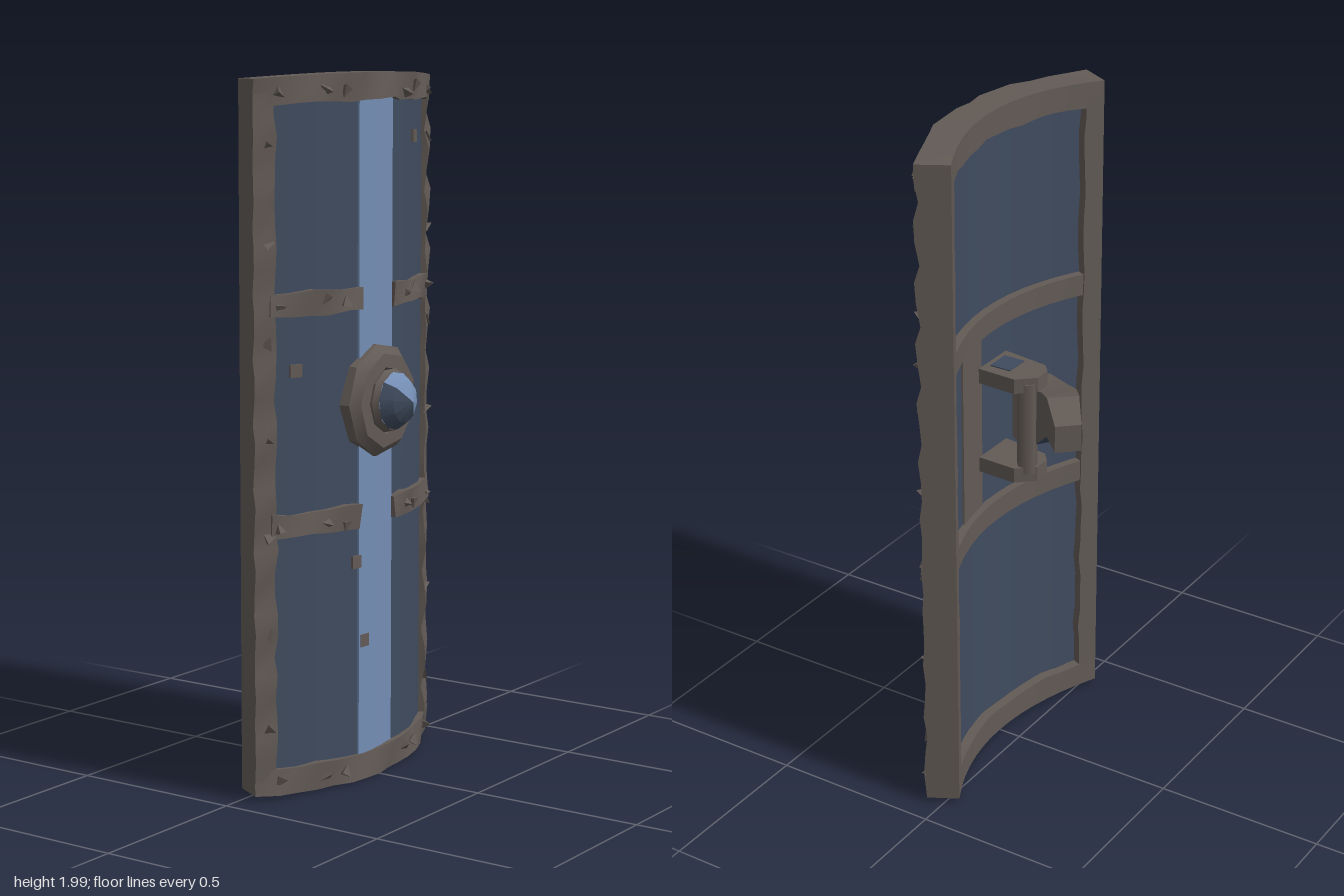
import * as THREE from 'three';
import { toCreasedNormals } from 'three/addons/utils/BufferGeometryUtils.js';

const mat = (name, color) => {
  const m = new THREE.MeshStandardMaterial({ color });
  m.name = name;
  return m;
};

// Point on the bowed shield: y up, z along the curve, t outward from the back
function bow(v, t, y, z) {
  const slope = 1.48 * z, len = Math.hypot(1, slope);
  return v.set(0.07 - 0.74 * z * z + t / len, 1 + (y - 1) * (1 - 0.1 * z * z), z + (t * slope) / len);
}
const noise = (y, z) => Math.sin(y * 37.1 + z * 23.7) * 0.6 + Math.sin(y * 71.3 - z * 53.9) * 0.4;

function editVertices(geo, fn) {
  const p = geo.attributes.position, v = new THREE.Vector3();
  for (let i = 0; i < p.count; i++) {
    fn(v.fromBufferAttribute(p, i));
    p.setXYZ(i, v.x, v.y, v.z);
  }
  return toCreasedNormals(geo, 0.6);
}

// Curved plate between given heights, z limits and depths; rough gives a worn front
function slab(y0, y1, z0, z1, t0, t1, rough = 0) {
  const ny = Math.max(1, Math.round((y1 - y0) / 0.06));
  const nz = Math.max(1, Math.round((z1 - z0) / 0.055));
  return editVertices(new THREE.BoxGeometry(1, 1, 1, 1, ny, nz), (v) => {
    const y = y0 + (v.y + 0.5) * (y1 - y0), z = z0 + (v.z + 0.5) * (z1 - z0);
    const front = v.x > 0, n = noise(y, z) * rough;
    const inY = y > 0.03 && y < 1.97 ? n * 0.7 : 0;
    const inZ = Math.abs(z) < 0.36 ? noise(z, y) * rough * 0.5 : 0;
    bow(v, front ? t1 + n : t0, y + inY, z + inZ);
  });
}

// Tapering bar through stations of [x, z, low y, high y, half width]
function loft(stations) {
  const n = stations.length - 1;
  return editVertices(new THREE.BoxGeometry(1, 1, 1, 1, 1, n), (v) => {
    const i = Math.round((v.z + 0.5) * n), s = stations[i];
    const a = stations[Math.max(0, i - 1)], b = stations[Math.min(n, i + 1)];
    const tx = b[0] - a[0], tz = b[1] - a[1], len = Math.hypot(tx, tz);
    const w = v.x * 2 * s[4];
    v.set(s[0] + (w * tz) / len, v.y > 0 ? s[3] : s[2], s[1] - (w * tx) / len);
  });
}

// Lathe turned to point along +x
function turned(profile, sides, start = 0, sweep = Math.PI * 2) {
  const pts = profile.map(([r, x]) => new THREE.Vector2(r, x));
  const g = new THREE.LatheGeometry(pts, sides, start, sweep).rotateZ(-Math.PI / 2);
  return toCreasedNormals(g, 0.6);
}

export function createModel() {
  const iron = mat('dark iron', 0x625a55);
  const slate = mat('slate blue', 0x3f4b5e);
  const blue = mat('light blue', 0x748db3);
  const group = new THREE.Group();
  const add = (name, geo, material, x = 0, y = 0, z = 0) => {
    const m = new THREE.Mesh(geo, material);
    m.name = name;
    m.position.set(x, y, z);
    group.add(m);
    return m;
  };

  // Panel and painted stripe
  add('panel', slab(0.04, 1.96, -0.36, 0.36, 0.03, 0.08), slate);
  add('stripe', slab(0.07, 1.94, -0.072, 0.072, 0.079, 0.086), blue);

  // Rim
  add('topRim', slab(1.925, 2, -0.38, 0.38, 0, 0.095, 0.009), iron);
  add('bottomRim', slab(0.01, 0.085, -0.38, 0.38, 0, 0.095, 0.009), iron);
  for (const [name, z0, z1] of [['leftRim', 0.327, 0.38], ['rightRim', -0.38, -0.327]])
    add(name, slab(0.05, 1.96, z0, z1, 0, 0.095, 0.009), iron);

  // Crossbars: front pieces stop at the stripe, back pieces run through
  for (const y of [0.77, 1.38]) {
    add('backCrossbar', slab(y - 0.03, y + 0.035, -0.34, 0.34, 0.005, 0.04), iron);
    for (const s of [-1, 1])
      add('frontCrossbar', slab(y - 0.03, y + 0.035, s > 0 ? 0.07 : -0.34, s > 0 ? 0.34 : -0.07, 0.06, 0.098, 0.01), iron);
  }
  add('backStrip', slab(0.78, 1.38, -0.17, -0.05, 0.024, 0.034), iron);

  // Worn metal burrs on rim and crossbars
  const burr = toCreasedNormals(new THREE.TetrahedronGeometry(0.024), 0.3);
  const v = new THREE.Vector3();
  for (const y of [0.045, 0.77, 1.38, 1.955])
    for (const z of [-0.32, -0.19, -0.13, 0.13, 0.19, 0.32]) {
      bow(v, 0.096, y + noise(z, y) * 0.015, z);
      add('burr', burr, iron, v.x, v.y, v.z).rotation.set(y * 5, z * 20, 0.4);
    }
  for (const z of [-0.345, 0.345])
    for (let y = 0.2; y < 1.9; y += 0.27) {
      bow(v, 0.09, y, z);
      add('burr', burr, iron, v.x, v.y, v.z).rotation.set(y * 7, z * 5, y);
    }

  // Worn spots in the paint
  for (const [y, z] of [[1.2, 0.27], [1.82, -0.22], [0.64, 0.08], [0.41, 0.05]])
    add('wornSpot', slab(y - 0.018, y + 0.018, z - 0.016, z + 0.016, 0.08, 0.088), iron);

  // Central boss: ring, knob base and two-coloured knob
  const cy = 1.09, cz = -0.01;
  add('bossRing', turned([[0.165, 0.12], [0.16, 0.165], [0.135, 0.188], [0.095, 0.19], [0.082, 0.17]], 9), iron, 0, cy, cz);
  add('knobBase', turned([[0.082, 0.15], [0.092, 0.195], [0.083, 0.212]], 10), iron, 0, cy, cz);
  const cap = [[0.083, 0.212], [0.06, 0.245], [0.001, 0.272]];
  add('knobLightHalf', turned(cap, 5, Math.PI * 0.75, Math.PI), blue, 0, cy, cz);
  add('knobDarkHalf', turned(cap, 5, Math.PI * 1.75, Math.PI), slate, 0, cy, cz);

  // Grip at the back: two chamfered brackets and an upright bar
  const outline = [[-0.08, 0.03], [-0.08, -0.02], [-0.055, -0.05], [0.09, -0.07], [0.09, 0.07], [-0.03, 0.075]];
  const shape = new THREE.Shape(outline.map(([x, y]) => new THREE.Vector2(x, y)));
  for (const y of [0.925, 1.205]) {
    const g = new THREE.ExtrudeGeometry(shape, { depth: 0.045, bevelEnabled: false }).rotateX(-Math.PI / 2);
    add('gripBracket', g, iron, 0, y, 0);
  }
  add('bracketPatch', new THREE.BoxGeometry(0.065, 0.006, 0.075), slate, 0.04, 1.25, 0);
  add('gripBar', new THREE.CylinderGeometry(0.03, 0.03, 0.28, 7), iron, -0.045, 1.09, -0.03);

  // Curved arm hook, slate on its outer side
  add('armHook', loft([
    [0.03, 0.05, 1.02, 1.18, 0.045],
    [-0.03, 0.055, 1.0, 1.2, 0.045],
    [-0.09, 0.025, 1.03, 1.2, 0.05],
    [-0.14, -0.015, 1.07, 1.22, 0.05],
    [-0.19, -0.075, 1.12, 1.24, 0.045],
    [-0.243, -0.133, 1.11, 1.19, 0.037],
  ]), [slate, iron, iron, slate, iron, iron]);

  return group;
}
